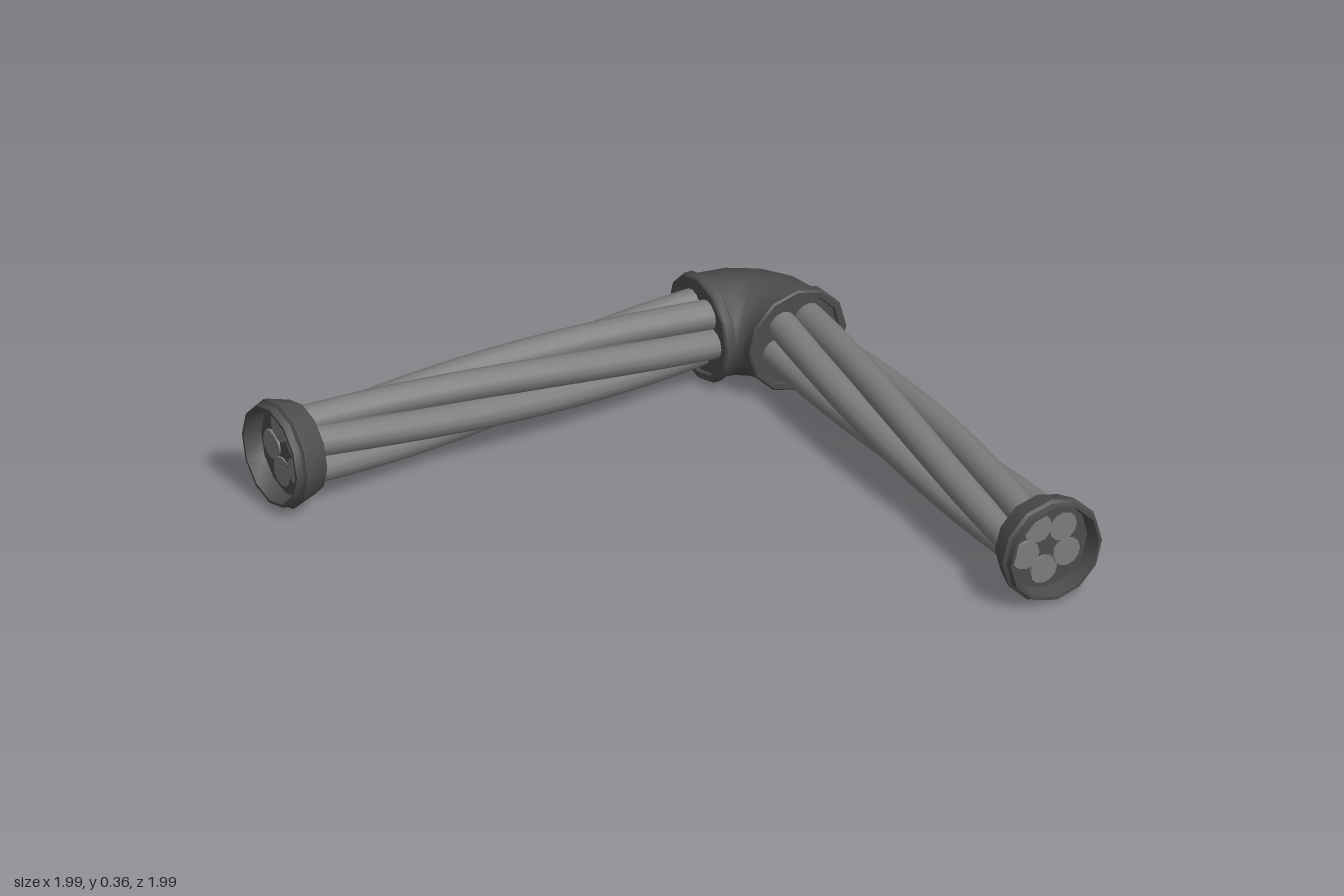
import * as THREE from 'three';
import { toCreasedNormals } from 'three/addons/utils/BufferGeometryUtils.js';

const SIDES = 12;
const AXIS_Y = 0.19;
const STRANDS = 5;
const TWIST = 1.48; // radians per unit of length

const darkMetal = new THREE.MeshStandardMaterial({ color: 0x4c4c4c });
const cableGrey = new THREE.MeshStandardMaterial({ color: 0x7c7c7c });

function addMesh(parent, name, geometry, material) {
  const mesh = new THREE.Mesh(geometry, material);
  mesh.name = name;
  parent.add(mesh);
  return mesh;
}

// Turned part around the x axis; profile is [radius, x] pairs
function turned(profile) {
  const geometry = new THREE.LatheGeometry(profile.map(([r, x]) => new THREE.Vector2(r, x)), SIDES);
  geometry.rotateZ(-Math.PI / 2);
  return toCreasedNormals(geometry, 0.6);
}

// One twisted strand with its visible end cap
function addStrand(parent, index) {
  const start = -0.945, end = 0.62, ring = 0.08, radius = 0.05;
  const points = [];
  for (let i = 0; i <= 12; i++) {
    const x = start + (end - start) * i / 12;
    const a = TWIST * (x - 0.2) + index * Math.PI * 2 / STRANDS;
    points.push(new THREE.Vector3(x, ring * Math.cos(a), ring * Math.sin(a)));
  }
  const path = new THREE.CatmullRomCurve3(points);
  addMesh(parent, 'strand', new THREE.TubeGeometry(path, 16, radius, 12), cableGrey);
  const cap = addMesh(parent, 'strandEnd', new THREE.CircleGeometry(radius, 12), cableGrey);
  cap.position.copy(points[0]);
  cap.rotation.y = -Math.PI / 2;
}

// Cable bundle with an end collar at -x and an elbow flange at +x
function makeArm(name) {
  const arm = new THREE.Group();
  arm.name = name;

  addMesh(arm, 'endCollar', turned([
    [0, -0.94], [0.15, -0.94], [0.158, -1], [0.168, -1], [0.17, -0.975],
    [0.18, -0.968], [0.178, -0.955], [0.155, -0.88], [0.148, -0.878], [0, -0.878],
  ]), darkMetal);

  addMesh(arm, 'elbowFlange', turned([
    [0, 0.59], [0.152, 0.59], [0.156, 0.577], [0.174, 0.577],
    [0.18, 0.583], [0.18, 0.612], [0.168, 0.62],
  ]), darkMetal);

  const cable = new THREE.Group();
  cable.name = 'cableBundle';
  for (let i = 0; i < STRANDS; i++) addStrand(cable, i);
  arm.add(cable);
  return arm;
}

export function createModel() {
  const model = new THREE.Group();
  model.name = 'cornerCable';

  // Back arm along x, side arm along z
  const backArm = makeArm('backArm');
  backArm.position.set(0, AXIS_Y, -0.81);
  const sideArm = makeArm('sideArm');
  sideArm.rotation.y = Math.PI / 2;
  sideArm.position.set(0.81, AXIS_Y, 0);
  model.add(backArm, sideArm);

  // Quarter bend joining both arms
  const bend = new THREE.TorusGeometry(0.2, 0.17, SIDES, 4, Math.PI / 2);
  bend.rotateX(-Math.PI / 2);
  const elbow = addMesh(model, 'elbow', bend, darkMetal);
  elbow.position.set(0.61, AXIS_Y, -0.61);

  return model;
}
